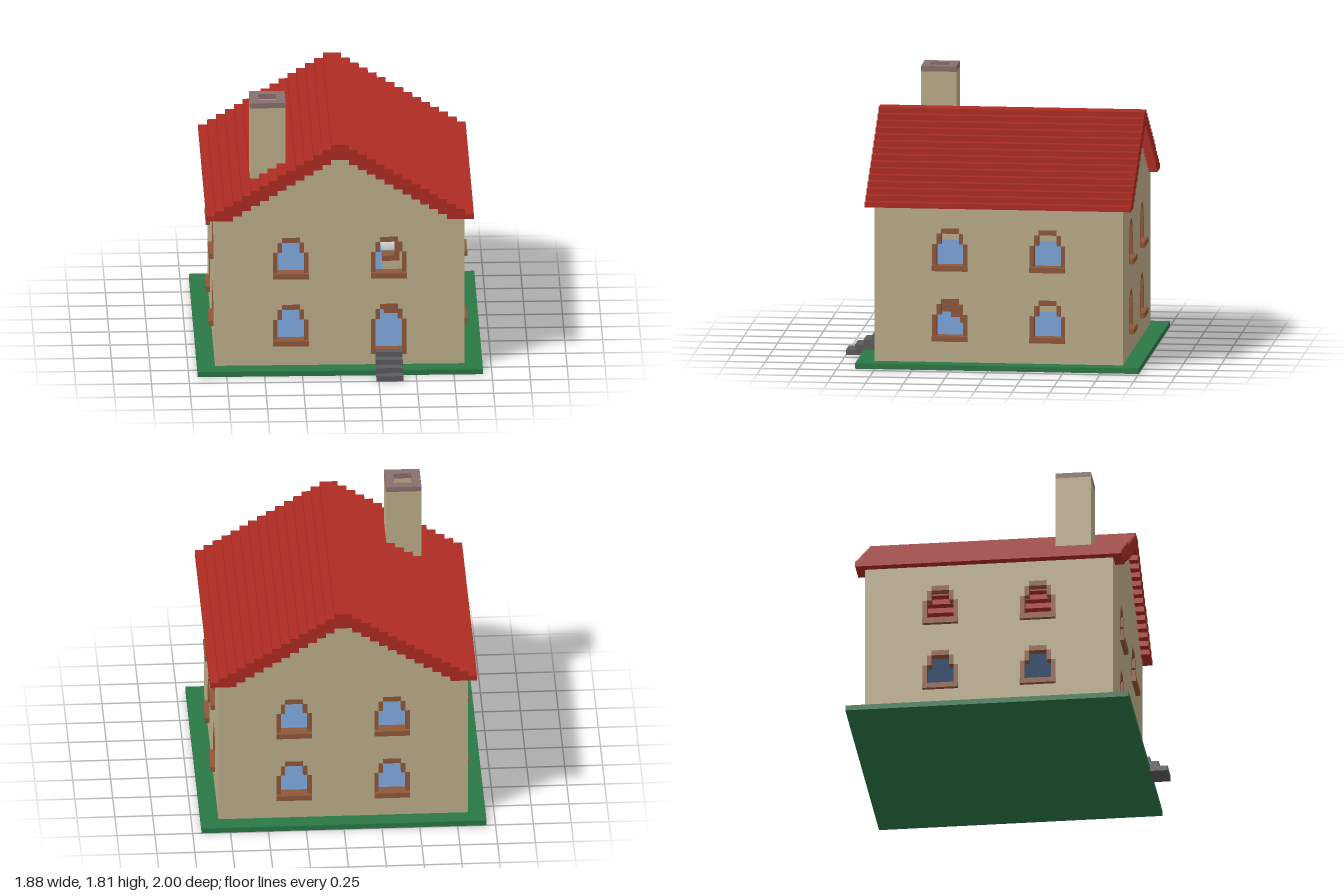
import * as THREE from 'three';

const U = 2 / 34;        // horizontal module
const V = U * 0.6;       // layer height
const UP = 13.33;        // upper storey offset in layers
const EAVE = 30.33;      // roof start in layers

const mat = (name, color, side = THREE.FrontSide) => {
  const m = new THREE.MeshStandardMaterial({ color, side });
  m.name = name;
  return m;
};

export function createModel() {
  const house = new THREE.Group();
  house.name = 'house';
  const tan = mat('tan', 0xbeaf8b);
  const green = mat('green', 0x2a7846);
  const red = mat('red', 0xae2b22);
  const brown = mat('brown', 0x90583a);
  const grey = mat('dark grey', 0x5c5b5d);
  const mauve = mat('mauve grey', 0x8a7070);
  const blue = mat('blue', 0x6a8dbb);

  // Box from corner ranges, x and z in modules, y in layers
  const box = (parent, name, m, x0, x1, y0, y1, z0, z1) => {
    const g = new THREE.BoxGeometry((x1 - x0) * U, (y1 - y0) * V, (z1 - z0) * U);
    const mesh = new THREE.Mesh(g, m);
    mesh.position.set((x0 + x1) / 2 * U, (y0 + y1) / 2 * V, (z0 + z1) / 2 * U);
    mesh.name = name;
    parent.add(mesh);
    return mesh;
  };
  const pts = (list) => list.map(([x, y]) => new THREE.Vector2(x * U, y * V));

  // Stepped arch opening with its brown surround
  const archHole = (cx, b, t) => new THREE.Path(pts([
    [cx - 2, b], [cx - 2, t - 3], [cx - 1.5, t - 3], [cx - 1.5, t - 1], [cx - 1, t - 1], [cx - 1, t],
    [cx + 1, t], [cx + 1, t - 1], [cx + 1.5, t - 1], [cx + 1.5, t - 3], [cx + 2, t - 3], [cx + 2, b],
  ]));
  const frame = (parent, cx, b, t, isDoor) => {
    const g = new THREE.Group();
    g.name = isDoor ? 'doorFrame' : 'windowFrame';
    box(g, 'sill', brown, cx - 2, cx + 2, b, b + 1, 0, isDoor ? 1 : 1.5);
    box(g, 'head', brown, cx - 1, cx + 1, t - 1, t, 0, 1);
    for (const s of [-1, 1]) {
      const a = cx + s * 1.75, c = cx + s * 1.25;
      box(g, 'jamb', brown, a - 0.25, a + 0.25, b + 1, t - 3, 0, 1);
      box(g, 'shoulder', brown, c - 0.25, c + 0.25, t - 3, t - 1, 0, 1);
    }
    parent.add(g);
  };

  // Wall with four openings; gable ends get a stepped top
  const wall = (name, half, gable, hasDoor) => {
    const g = new THREE.Group();
    g.name = name;
    const left = [], right = [];
    if (gable) {
      for (let k = 0; k < 12; k++) {
        left.push([k - 12, EAVE + k], [k - 12, EAVE + k + 1]);
        right.unshift([12 - k, EAVE + k + 1], [12 - k, EAVE + k]);
      }
    }
    const shape = new THREE.Shape(pts([
      [-half, 1], [-half, EAVE], ...left, ...right, [half, EAVE], [half, 1],
    ]));
    for (const cx of [-5.5, 5.5]) {
      for (const dy of [0, UP]) {
        const isDoor = hasDoor && cx > 0 && dy === 0;
        const b = isDoor ? 3 : 5 + dy;
        shape.holes.push(archHole(cx, b, 13 + dy));
        frame(g, cx, b, 13 + dy, isDoor);
      }
    }
    const mesh = new THREE.Mesh(new THREE.ExtrudeGeometry(shape, { depth: U, bevelEnabled: false }), tan);
    mesh.name = name + 'Panel';
    g.add(mesh);
    house.add(g);
    return g;
  };
  wall('frontWall', 14, true, true).position.z = 12 * U;
  const back = wall('backWall', 14, true, false);
  back.position.z = -14 * U;
  back.rotation.y = Math.PI;
  for (const s of [-1, 1]) {
    const side = wall(s > 0 ? 'leftWall' : 'rightWall', 13, false, false);
    side.position.set(s * 13 * U, 0, -U);
    side.rotation.y = s * Math.PI / 2;
  }

  // Ground plate and floors, the upper one open above the stairs
  box(house, 'ground', green, -16, 16, 0, 1, -17, 15);
  box(house, 'groundFloor', blue, -13, 13, 1, 3.2, -14, 12);
  const f0 = 16.2, f1 = 16.5;
  box(house, 'upperFloor', blue, -13, 5, f0, f1, -14, 12);
  box(house, 'upperFloor', blue, 11, 13, f0, f1, -14, 12);
  box(house, 'upperFloor', blue, 5, 11, f0, f1, -14, -4);
  box(house, 'upperFloor', blue, 5, 11, f0, f1, 10, 12);

  // Indoor stairs rising towards the front
  for (let j = -1; j <= 12; j++) {
    box(house, 'indoorStep', brown, 5.35, 8.4, Math.max(3, j + 1), Math.min(j + 5, f1), j - 3, j - 2);
  }

  // Front steps
  for (let i = 0; i < 4; i++) {
    box(house, 'frontStep', grey, 4, 7, i < 2 ? 1 : 0, 4 - i, 13 + i, 14 + i);
  }

  // Roof of overlapping layers
  for (let k = 0; k < 15; k++) {
    const y = EAVE + k, out = 15 - k, inner = 12 - k;
    if (inner <= 0) {
      box(house, 'roofRidge', red, -out, out, y, y + 1, -16, 14);
    } else {
      box(house, 'roofLayer', red, inner, out, y, y + 1, -16, 14);
      box(house, 'roofLayer', red, -out, -inner, y, y + 1, -16, 14);
    }
  }

  // Hollow chimney with a cap ring
  const ring = (name, m, y0, y1) => {
    box(house, name, m, -10, -9, y0, y1, 6, 10);
    box(house, name, m, -7, -6, y0, y1, 6, 10);
    box(house, name, m, -9, -7, y0, y1, 6, 7);
    box(house, name, m, -9, -7, y0, y1, 9, 10);
  };
  ring('chimney', tan, EAVE + 6.01, 50.33);
  ring('chimneyCap', mauve, 50.33, 51.33);

  return house;
}
